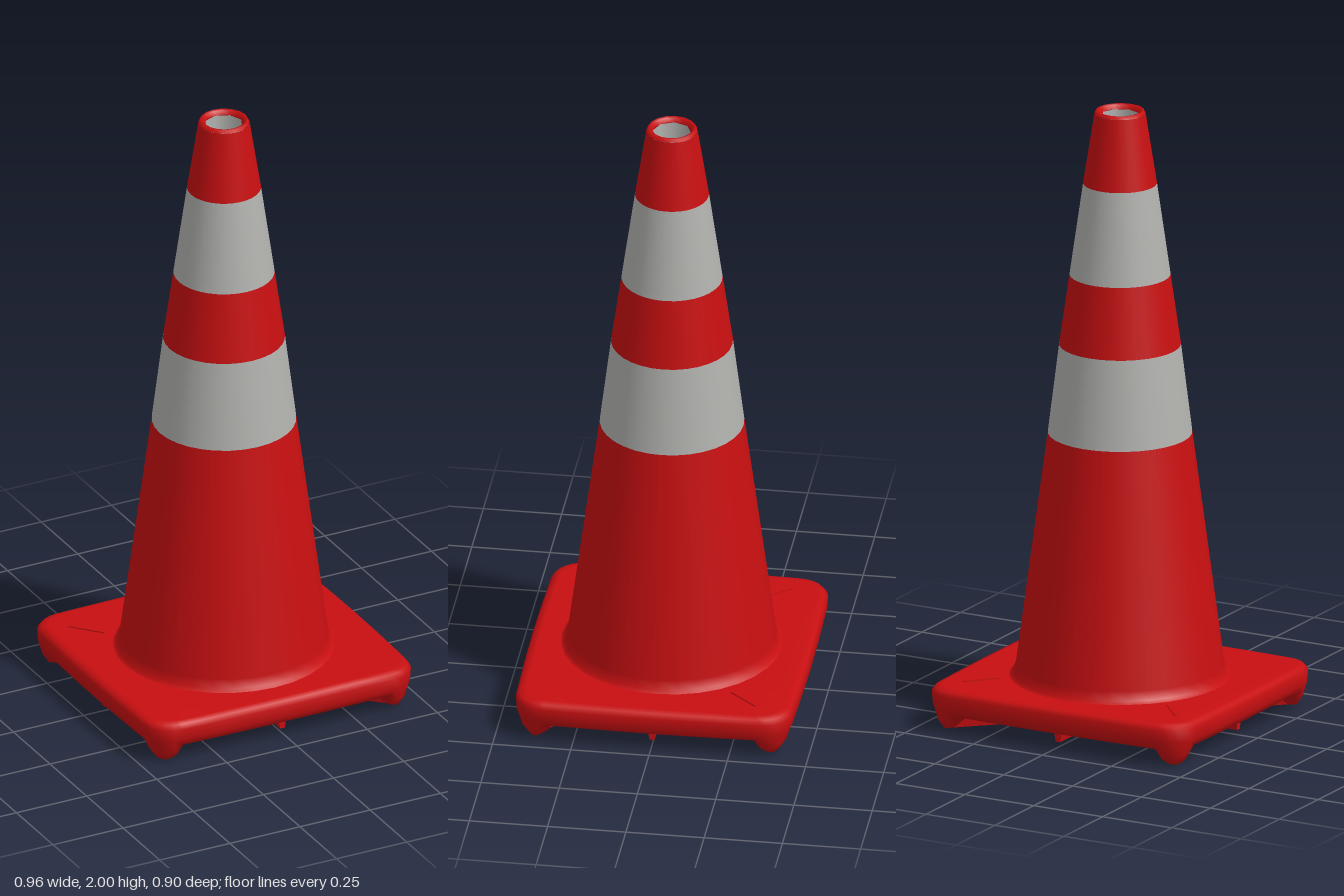
import * as THREE from 'three';

const red = new THREE.MeshStandardMaterial({ color: 0xc80f11, side: THREE.DoubleSide });
red.name = 'safety red';
const grey = new THREE.MeshStandardMaterial({ color: 0xb1b1ae, side: THREE.DoubleSide });
grey.name = 'reflective grey';

function add(group, name, geometry, material) {
  const mesh = new THREE.Mesh(geometry, material);
  mesh.name = name;
  group.add(mesh);
  return mesh;
}

function lathe(points, sides) {
  return new THREE.LatheGeometry(points.map(([r, y]) => new THREE.Vector2(r, y)), sides);
}

// Outline of the foot plate: slightly bowed sides and rounded corners.
// Each point carries its closeness to a corner (0 to 1).
function outline(inset) {
  const hx = 0.473 - inset, hz = 0.442 - inset, r = Math.max(0.095 - inset * 0.4, 0.03);
  const corners = [[1, 1], [-1, 1], [-1, -1], [1, -1]];
  const points = [];
  corners.forEach(([sx, sz], i) => {
    for (let k = 0; k <= 6; k++) {
      const a = (i + k / 6) * Math.PI / 2;
      points.push({
        x: sx * (hx - r) + r * Math.cos(a),
        z: sz * (hz - r) + r * Math.sin(a),
        corner: Math.sin(k / 6 * Math.PI) ** 0.7 || 0,
      });
    }
    // Straight run to the next corner
    const from = points[points.length - 1];
    const [nx, nz] = corners[(i + 1) % 4];
    const a = (i + 1) * Math.PI / 2;
    const to = { x: nx * (hx - r) + r * Math.cos(a), z: nz * (hz - r) + r * Math.sin(a) };
    for (let k = 1; k < 6; k++) {
      const t = k / 6, bow = 0.006 * Math.sin(Math.PI * t);
      points.push({
        x: from.x + (to.x - from.x) * t + Math.cos(a) * bow,
        z: from.z + (to.z - from.z) * t + Math.sin(a) * bow,
        corner: 0,
      });
    }
  });
  return points;
}

// Foot plate lofted from rings of [inset, height, corner droop]
function plateGeometry() {
  const rings = [
    [0.2, 0.142, 0], [0.03, 0.142, 0], [0.01, 0.137, 0], [0, 0.122, 0],
    [0.002, 0.085, 0], [0.014, 0.062, 0.03], [0.03, 0.052, 0.05],
    [0.05, 0.052, 0.05], [0.075, 0.068, 0.04], [0.13, 0.075, 0], [0.25, 0.075, 0],
  ];
  const positions = [], index = [];
  let n = 0;
  rings.forEach(([inset, y, droop]) => {
    const ring = outline(inset);
    n = ring.length;
    ring.forEach(p => positions.push(p.x, y - droop * p.corner, p.z));
  });
  for (let j = 0; j < rings.length - 1; j++) {
    for (let i = 0; i < n; i++) {
      const a = j * n + i, b = j * n + (i + 1) % n;
      index.push(a, b, a + n, b, b + n, a + n);
    }
  }
  // Close the top and underside
  const top = positions.length / 3;
  positions.push(0, 0.142, 0, 0, 0.075, 0);
  const last = (rings.length - 1) * n;
  for (let i = 0; i < n; i++) {
    const k = (i + 1) % n;
    index.push(top, k, i, top + 1, last + i, last + k);
  }
  const geometry = new THREE.BufferGeometry();
  geometry.setAttribute('position', new THREE.Float32BufferAttribute(positions, 3));
  geometry.setIndex(index);
  geometry.computeVertexNormals();
  return geometry;
}

// Tapered rib running outward along +x under the plate
function ribGeometry(length, bottom) {
  const geometry = new THREE.BoxGeometry(length, 0.08 - bottom, 0.04);
  geometry.translate(length / 2, (0.08 + bottom) / 2, 0);
  const p = geometry.attributes.position;
  for (let i = 0; i < p.count; i++) {
    if (p.getY(i) < 0.05) p.setZ(i, p.getZ(i) * 0.4);
  }
  geometry.computeVertexNormals();
  return geometry;
}

export function createModel() {
  const model = new THREE.Group();
  model.name = 'trafficCone';

  add(model, 'footPlate', plateGeometry(), red);

  // Underside ribs: four to the corners, four to the sides
  const ribs = new THREE.Group();
  ribs.name = 'undersideRibs';
  model.add(ribs);
  for (let i = 0; i < 4; i++) {
    const sx = i === 0 || i === 3 ? 1 : -1, sz = i < 2 ? 1 : -1;
    const diagonal = add(ribs, 'cornerRib', ribGeometry(0.555, 0.004), red);
    diagonal.rotation.y = -Math.atan2(sz * 0.41, sx * 0.44);
    const side = add(ribs, 'sideRib', ribGeometry(i % 2 ? 0.4 : 0.43, 0.02), red);
    side.rotation.y = i * Math.PI / 2;
  }

  // Cone body, split at the colour bands
  add(model, 'coneSkirt', lathe([[0.352, 0.141], [0.338, 0.15], [0.33, 0.18], [0.229, 0.94]], 32), red);
  add(model, 'lowerBand', lathe([[0.229, 0.94], [0.193, 1.23]], 32), grey);
  add(model, 'middleSection', lathe([[0.193, 1.23], [0.16, 1.46]], 32), red);
  add(model, 'upperBand', lathe([[0.16, 1.46], [0.117, 1.76]], 32), grey);
  add(model, 'coneTip', lathe([[0.117, 1.76], [0.081, 1.99]], 32), red);

  // Rim and recessed opening
  add(model, 'topRim', lathe([[0.081, 1.99], [0.076, 2], [0.066, 1.998], [0.061, 1.985]], 16), red);
  add(model, 'openingWall', lathe([[0.061, 1.985], [0.058, 1.9]], 8), grey);
  add(model, 'openingFloor', lathe([[0.058, 1.9], [0.03, 1.89], [0, 1.887]], 8), red);

  // Shallow moulding creases on the rear of the plate
  for (const s of [-1, 1]) {
    const crease = add(model, 'plateCrease', new THREE.BoxGeometry(0.12, 0.006, 0.008), red);
    crease.position.set(s * 0.345, 0.143, -0.28);
    crease.rotation.y = s * 0.85;
  }
  return model;
}
